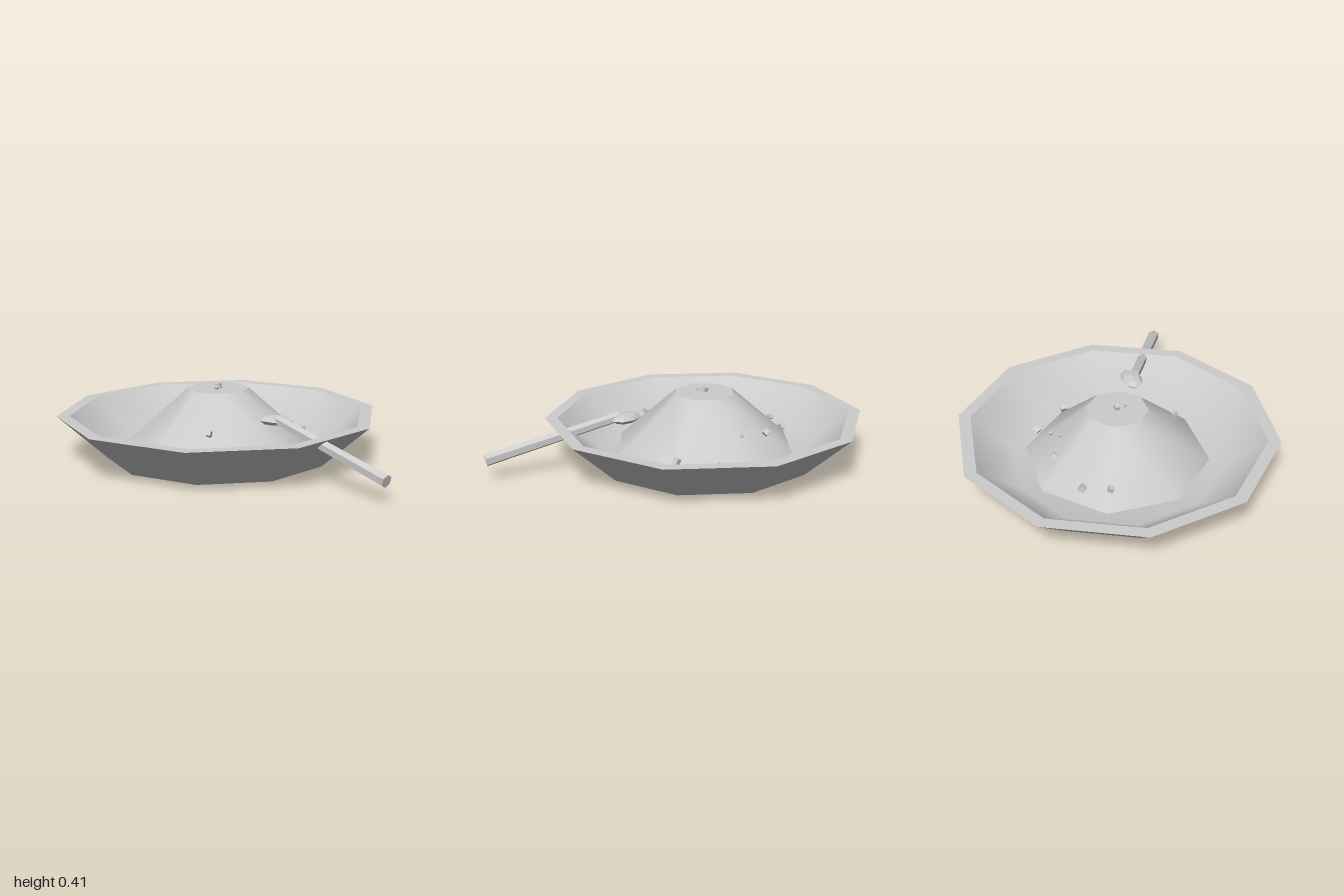
import * as THREE from 'three';

const CENTRE_X = -0.1;

export function createModel() {
  const group = new THREE.Group();
  const grey = new THREE.MeshStandardMaterial({ color: 0xcccccc });
  grey.name = 'light grey';

  const add = (name, geometry, parent = group) => {
    const mesh = new THREE.Mesh(geometry, grey);
    mesh.name = name;
    parent.add(mesh);
    return mesh;
  };
  const faceted = (geometry) => {
    const g = geometry.toNonIndexed();
    g.computeVertexNormals();
    return g;
  };
  // One smooth section of a turned shape; separate sections meet at a hard edge
  const turned = (name, profile, sides, startDegrees, parent) => add(name,
    new THREE.LatheGeometry(profile.map(([r, y]) => new THREE.Vector2(r, y)), sides,
      THREE.MathUtils.degToRad(startDegrees)), parent);

  // Ten-sided bowl
  const bowl = new THREE.Group();
  bowl.name = 'bowl';
  bowl.position.x = CENTRE_X;
  group.add(bowl);
  turned('bowlBase', [[0, 0], [0.64, 0]], 10, 9, bowl);
  turned('bowlOuterWall', [[0.64, 0], [0.91, 0.245]], 10, 9, bowl);
  turned('bowlRim', [[0.91, 0.245], [0.84, 0.245]], 10, 9, bowl);
  turned('bowlInside', [[0.84, 0.245], [0.6, 0.05], [0, 0.05]], 10, 9, bowl);

  // Eight-sided mound of food
  const mound = new THREE.Group();
  mound.name = 'foodMound';
  mound.position.x = CENTRE_X;
  group.add(mound);
  turned('moundSide', [[0.525, 0.07], [0.175, 0.38]], 8, 20, mound);
  turned('moundTop', [[0.175, 0.38], [0, 0.38]], 8, 20, mound);
  turned('moundUnderside', [[0, 0.07], [0.525, 0.07]], 8, 20, mound);

  // Crumbs resting on the mound: x, z, size
  const crumbs = [
    [-0.1, 0, 0.032], [-0.43, -0.31, 0.034], [-0.17, -0.39, 0.03], [0.2, -0.385, 0.036],
    [0.35, -0.18, 0.034], [-0.5, -0.175, 0.03], [-0.02, 0.38, 0.03],
    [0.01, -0.355, 0.016], [-0.08, -0.325, 0.01], [-0.095, 0.04, 0.02],
  ];
  crumbs.forEach(([x, z, s], i) => {
    const r = Math.hypot(x - CENTRE_X, z) * 0.97;
    const y = 0.38 - Math.max(0, r - 0.175) * 0.886;
    const crumb = add('crumb', new THREE.BoxGeometry(s, s, s * 0.85));
    crumb.position.set(x, y + s * 0.25, z);
    crumb.rotation.set(i * 0.4, i * 1.3, 0.2);
  });

  // Spoon: flattened head and a hexagonal handle passing through the bowl wall
  const spoon = new THREE.Group();
  spoon.name = 'spoon';
  group.add(spoon);
  const headShape = new THREE.SphereGeometry(1, 8, 4);
  headShape.scale(0.1, 0.028, 0.065);
  add('spoonHead', faceted(headShape), spoon).position.set(0.305, 0.275, 0.232);

  const start = new THREE.Vector3(0.33, 0.283, 0.262);
  const end = new THREE.Vector3(0.98, 0.115, 0.637);
  const along = end.clone().sub(start);
  const handle = add('spoonHandle',
    faceted(new THREE.CylinderGeometry(0.035, 0.028, along.length(), 6)), spoon);
  handle.position.copy(start).add(end).multiplyScalar(0.5);
  handle.quaternion.setFromUnitVectors(new THREE.Vector3(0, 1, 0), along.normalize());

  return group;
}
